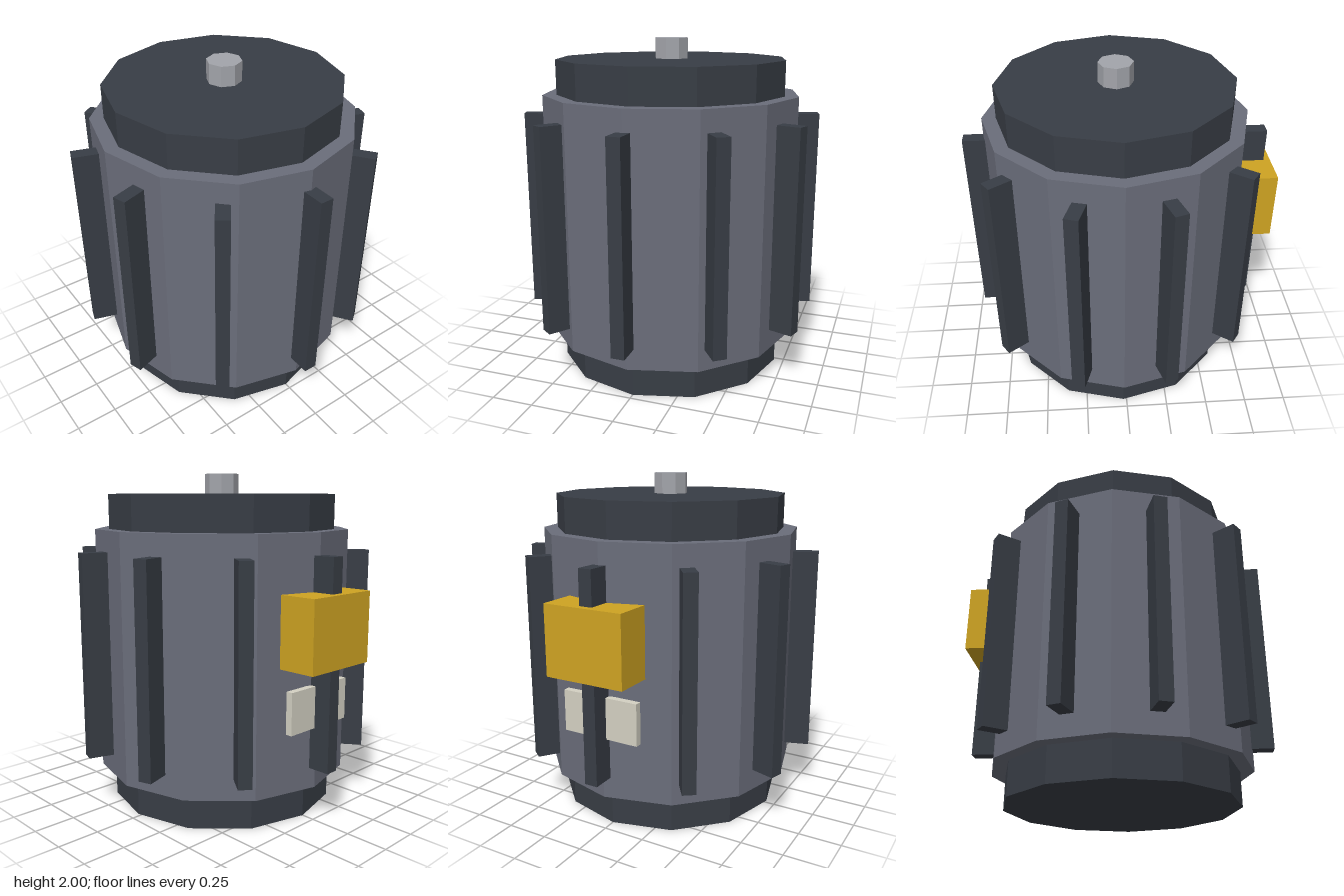
import * as THREE from 'three';

const paint = (name, color) => {
  const m = new THREE.MeshStandardMaterial({ color, flatShading: true });
  m.name = name;
  return m;
};

export function createModel() {
  const casing = paint('slate casing', 0x6a6d7a);
  const dark = paint('dark iron', 0x383d45);
  const steel = paint('steel', 0xa2a4aa);
  const yellow = paint('yellow', 0xcea322);
  const cream = paint('cream plate', 0xd3d0c2);

  const motor = new THREE.Group();
  motor.name = 'motor';
  // the round parts share an axis set slightly forward of centre
  const drum = new THREE.Group();
  drum.name = 'drum';
  drum.position.z = 0.02;
  motor.add(drum);

  const add = (parent, name, geometry, material, x, y, z) => {
    const mesh = new THREE.Mesh(geometry, material);
    mesh.name = name;
    mesh.position.set(x, y, z);
    parent.add(mesh);
    return mesh;
  };
  const cylinder = (name, r, y0, y1, sides, material) =>
    add(drum, name, new THREE.CylinderGeometry(r, r, y1 - y0, sides), material, 0, (y0 + y1) / 2, 0);

  // stacked casing, end caps and shaft
  cylinder('body', 0.775, 0.205, 1.675, 12, casing);
  cylinder('bottomCap', 0.692, 0, 0.25, 12, dark);
  cylinder('topCap', 0.692, 1.63, 1.88, 12, dark);
  cylinder('shaft', 0.102, 1.8, 2, 8, steel);

  // ten cooling fins around the casing
  for (let i = 0; i < 10; i++) {
    const fin = new THREE.Group();
    fin.name = 'coolingFin' + (i + 1);
    fin.rotation.y = (i * Math.PI) / 5;
    add(fin, 'finBlade', new THREE.BoxGeometry(0.08, 1.22, 0.2), dark, 0, 0.94, 0.797);
    drum.add(fin);
  }

  // terminal box and rating plate on the back
  add(motor, 'terminalBox', new THREE.BoxGeometry(0.49, 0.41, 0.245), yellow, 0, 1.145, -0.795);
  add(motor, 'ratingPlate', new THREE.BoxGeometry(0.48, 0.245, 0.04), cream, 0, 0.7, -0.756);

  return motor;
}
